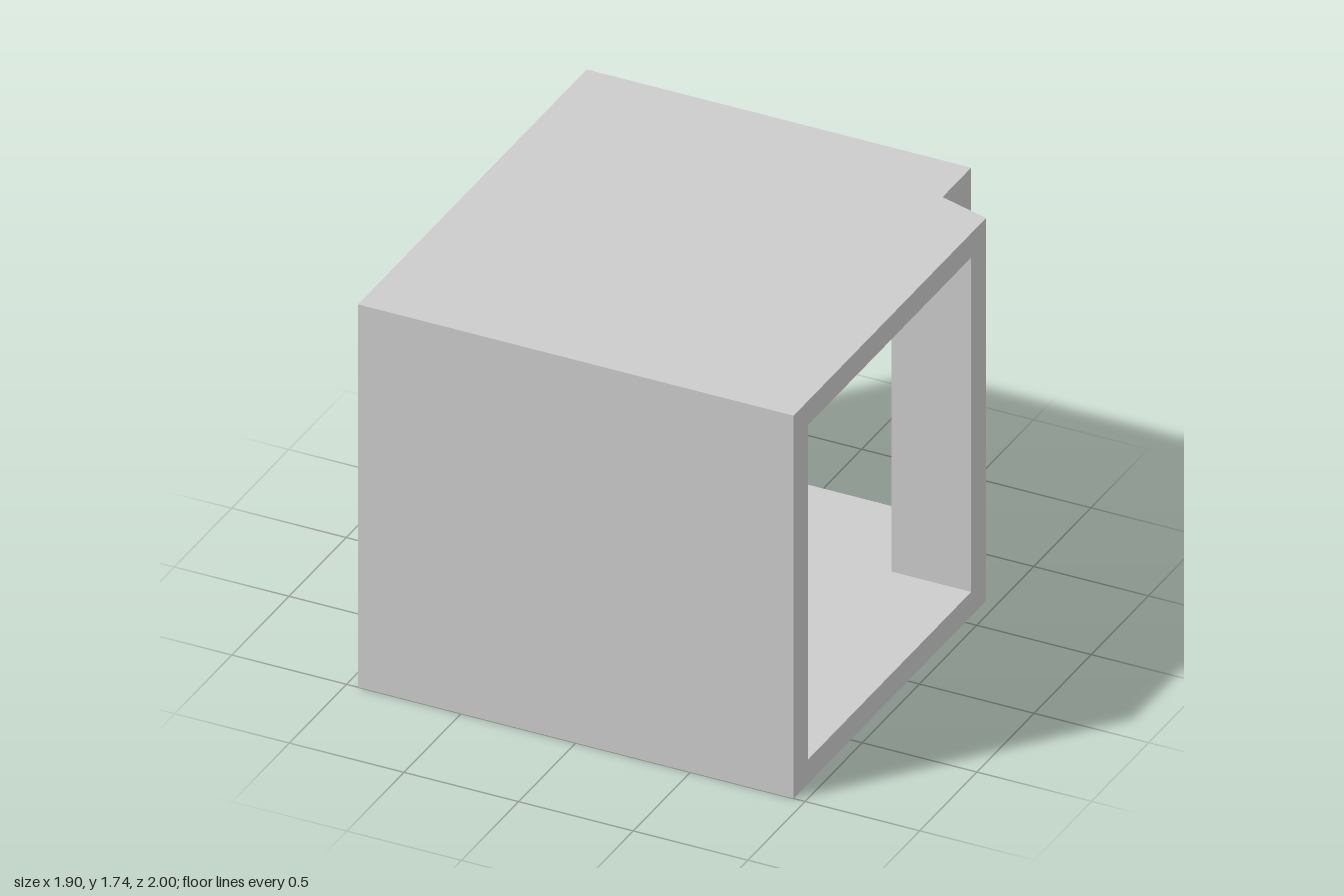
import * as THREE from 'three';

const HEIGHT = 1.74, SLAB = 0.11;
const X = 0.95, Z = 1;                 // half footprint
const INNER_LEFT = -0.826, INNER_FRONT = 0.875;
const POST_X = 0.603, POST_Z = -0.553; // inner faces of the corner post
// Notched corner, from the back face round to the +x side
const NOTCH = [[0.727, -Z], [0.727, -0.75], [X, -0.683]];

const material = new THREE.MeshStandardMaterial({ color: 0xcccccc, flatShading: true });

// Raises a plan outline given as [x, z] pairs from y0 to y1
function prism(name, plan, y0, y1) {
  const shape = new THREE.Shape(plan.map(([x, z]) => new THREE.Vector2(x, -z)));
  const geometry = new THREE.ExtrudeGeometry(shape, { depth: y1 - y0, bevelEnabled: false });
  geometry.rotateX(-Math.PI / 2).translate(0, y0, 0);
  const mesh = new THREE.Mesh(geometry, material);
  mesh.name = name;
  return mesh;
}

export function createModel() {
  const group = new THREE.Group();
  group.name = 'openCornerBox';

  // Floor and roof share the notched footprint
  const footprint = [[-X, -Z], ...NOTCH, [X, Z], [-X, Z]];
  group.add(prism('floor', footprint, 0, SLAB));
  group.add(prism('roof', footprint, HEIGHT - SLAB, HEIGHT));

  // Closed front and side walls
  const walls = [
    [-X, -Z], [INNER_LEFT, -Z], [INNER_LEFT, INNER_FRONT],
    [X, INNER_FRONT], [X, Z], [-X, Z],
  ];
  group.add(prism('walls', walls, SLAB, HEIGHT - SLAB));

  // Notched post between the two openings
  const post = [[POST_X, -Z], ...NOTCH, [X, POST_Z], [POST_X, POST_Z]];
  group.add(prism('cornerPost', post, SLAB, HEIGHT - SLAB));

  return group;
}
